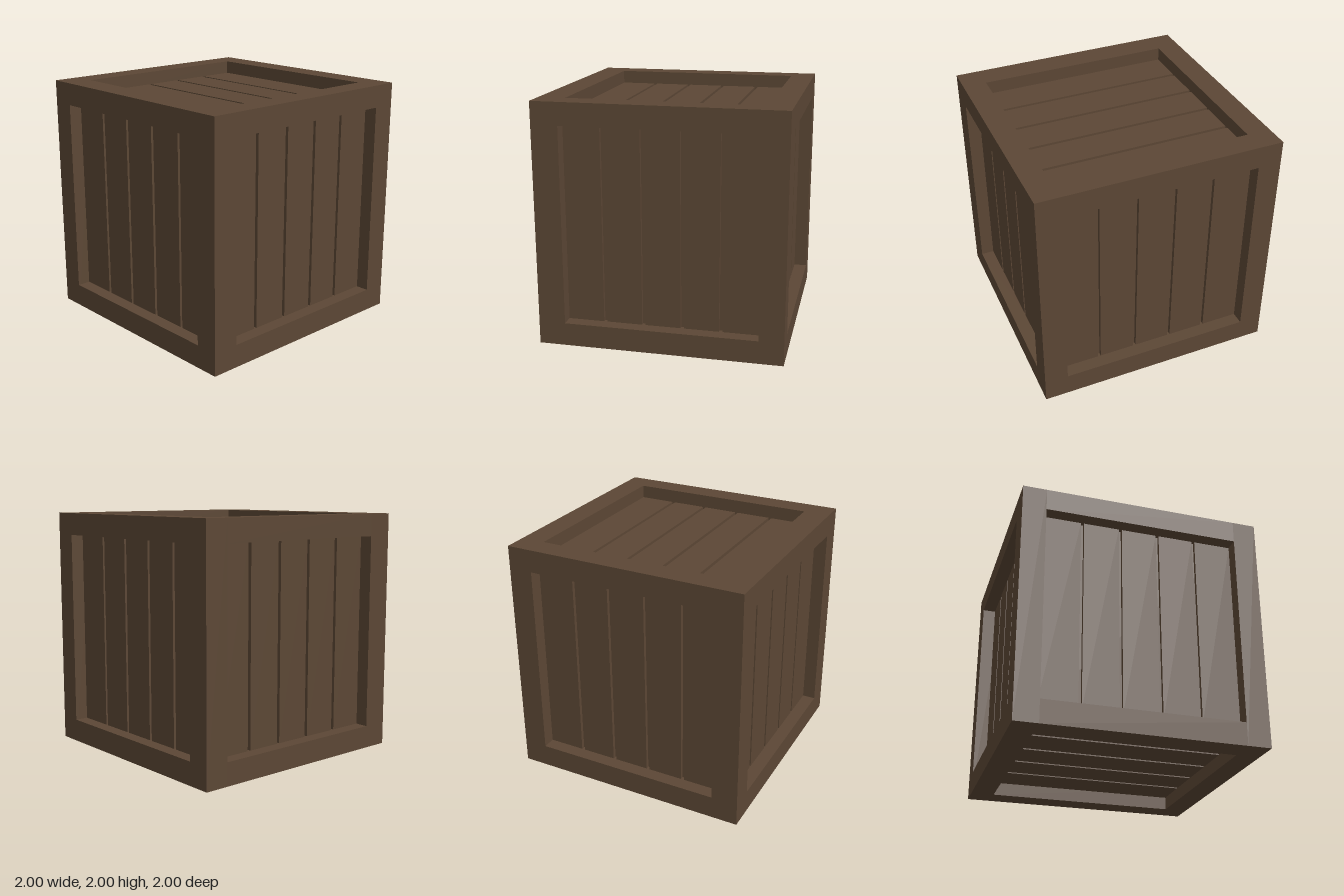
import * as THREE from 'three';

export function createModel() {
  const crate = new THREE.Group();
  crate.name = 'crate';
  const wood = new THREE.MeshStandardMaterial({ color: 0x5c4735 });
  wood.name = 'dark wood';

  // Box between two opposite corners
  const box = (name, parent, [x0, y0, z0], [x1, y1, z1]) => {
    const mesh = new THREE.Mesh(new THREE.BoxGeometry(x1 - x0, y1 - y0, z1 - z0), wood);
    mesh.name = name;
    mesh.position.set((x0 + x1) / 2, (y0 + y1) / 2, (z0 + z1) / 2);
    parent.add(mesh);
  };
  const group = (name) => {
    const g = new THREE.Group();
    g.name = name;
    crate.add(g);
    return g;
  };

  // Limits of the framed openings, and the depths of plank faces and gaps
  const X = [-0.78, 0.80], Y = [0.19, 1.815], Z = [-0.805, 0.805];
  const plankFace = 0.89, gapFloor = 0.86;
  const xBands = [[-1, X[0]], [X[1], 1]];
  const yBands = [[0, Y[0]], [Y[1], 2]];
  const zBands = [[-1, Z[0]], [Z[1], 1]];

  // Frame: four corner posts with rails between them
  const frame = group('frame');
  for (const [x0, x1] of xBands)
    for (const [z0, z1] of zBands) box('cornerPost', frame, [x0, 0, z0], [x1, 2, z1]);
  for (const [y0, y1] of yBands) {
    for (const [z0, z1] of zBands) box('crossRail', frame, [X[0], y0, z0], [X[1], y1, z1]);
    for (const [x0, x1] of xBands) box('sideRail', frame, [x0, y0, Z[0]], [x1, y1, Z[1]]);
  }

  // Backing seen through the gaps between planks
  box('backing', crate, [-gapFloor, 1 - gapFloor, -gapFloor], [gapFloor, 1 + gapFloor, gapFloor]);

  // Five planks per panel, given as start and end positions
  const xPlanks = [[X[0], -0.482], [-0.455, -0.162], [-0.135, 0.155], [0.182, 0.468], [0.495, X[1]]];
  const zPlanks = [[Z[0], -0.492], [-0.466, -0.172], [-0.146, 0.148], [0.174, 0.468], [0.492, Z[1]]];
  for (const side of [-1, 1]) {
    const [d0, d1] = side > 0 ? [gapFloor, plankFace] : [-plankFace, -gapFloor];
    const endPanel = group(side > 0 ? 'frontPanel' : 'backPanel');
    const flatPanel = group(side > 0 ? 'topPanel' : 'bottomPanel');
    const sidePanel = group(side > 0 ? 'leftPanel' : 'rightPanel');
    for (const [a, b] of xPlanks) {
      box('plank', endPanel, [a, Y[0], d0], [b, Y[1], d1]);
      box('plank', flatPanel, [a, 1 + d0, Z[0]], [b, 1 + d1, Z[1]]);
    }
    for (const [a, b] of zPlanks) box('plank', sidePanel, [d0, Y[0], a], [d1, Y[1], b]);
  }
  return crate;
}
